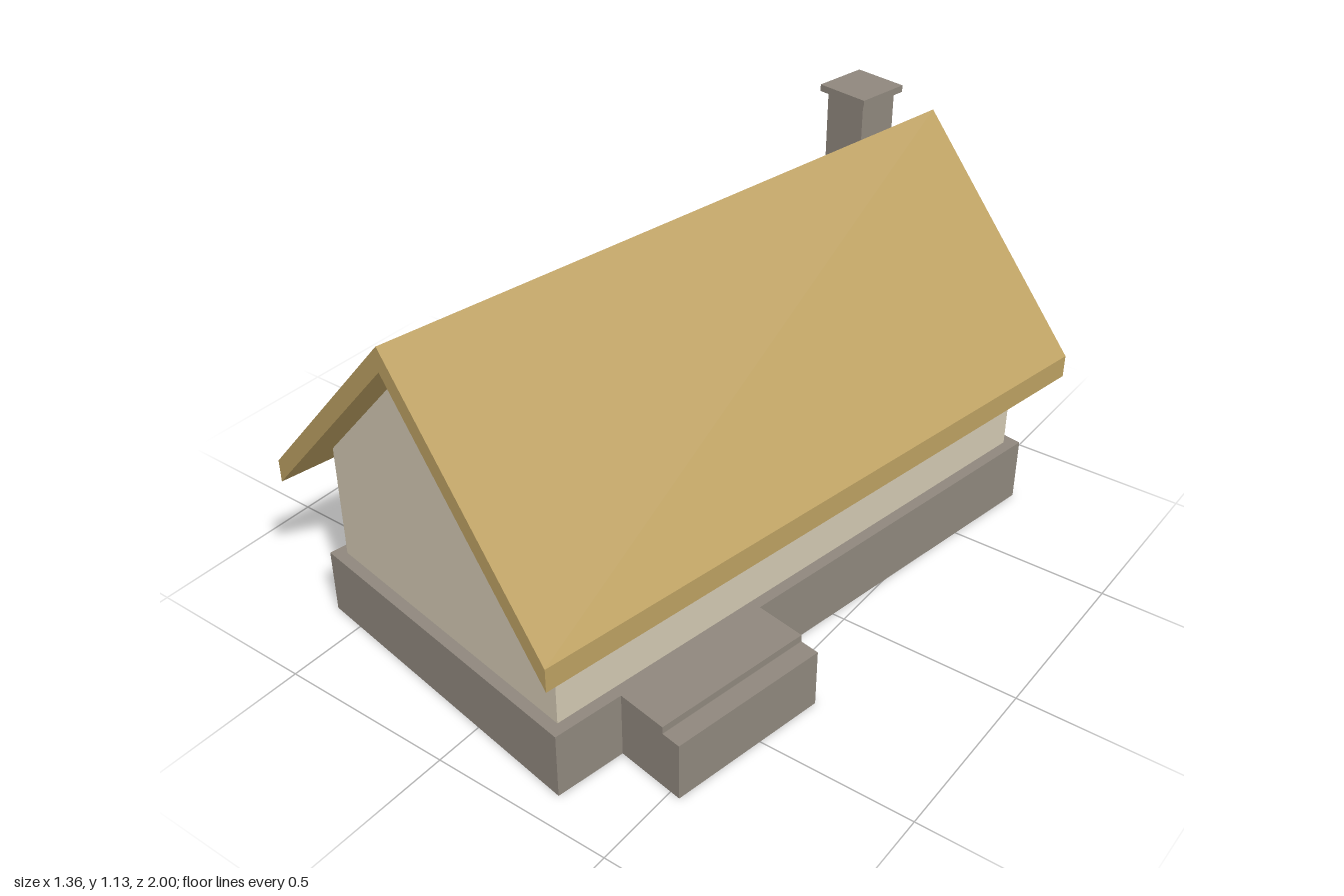
import * as THREE from 'three';

export function createModel() {
  const house = new THREE.Group();
  house.name = 'cottage';

  const mat = (name, color) => {
    const m = new THREE.MeshStandardMaterial({ color, side: THREE.DoubleSide });
    m.name = name;
    return m;
  };
  const stone = mat('stone', 0x8f877d);
  const plaster = mat('plaster', 0xd1c7b1);
  const thatch = mat('thatch', 0xbca062);

  const add = (name, geometry, material) => {
    const mesh = new THREE.Mesh(geometry, material);
    mesh.name = name;
    house.add(mesh);
    return mesh;
  };

  // Box between two corners; faces listed in omit are left open
  // (0 +x, 1 -x, 2 +y, 3 -y, 4 +z, 5 -z)
  const box = (name, [x0, y0, z0], [x1, y1, z1], omit = []) => {
    const g = new THREE.BoxGeometry(x1 - x0, y1 - y0, z1 - z0);
    g.translate((x0 + x1) / 2, (y0 + y1) / 2, (z0 + z1) / 2);
    const index = Array.from(g.index.array);
    g.setIndex(index.filter((_, i) => !omit.includes(Math.floor(i / 6))));
    g.clearGroups();
    return add(name, g, stone);
  };

  // Gable profile drawn in x and y, run along z
  const prism = (name, points, halfLength, material) => {
    const shape = new THREE.Shape(points.map(([x, y]) => new THREE.Vector2(x, y)));
    const g = new THREE.ExtrudeGeometry(shape, { depth: halfLength * 2, bevelEnabled: false });
    g.translate(0, 0, -halfLength);
    return add(name, g, material);
  };

  // Foundation, hollow below
  const baseTop = 0.185;
  box('foundation', [-0.458, 0, -0.852], [0.458, baseTop, 0.852], [3]);

  // Entrance steps on the left side, hollow below
  const z0 = 0.197, z1 = 0.655;
  box('stepBase', [0.458, 0, z0], [0.655, 0.165, z1], [1, 2, 3]);
  box('upperStep', [0.458, 0.165, z0], [0.6, baseTop, z1], [1, 3]);
  box('lowerStepTread', [0.6, 0.1, z0], [0.655, 0.165, z1], [0, 1, 3, 4, 5]);

  // Walls with gable ends
  prism('walls', [
    [-0.427, baseTop], [0.427, baseTop], [0.427, 0.514], [0, 0.973], [-0.427, 0.514],
  ], 0.82, plaster);

  // Roof slab with overhanging eaves
  prism('roof', [
    [-0.526, 0.41], [0, 0.975], [0.526, 0.41], [0.526, 0.475], [0, 1.04], [-0.526, 0.475],
  ], 0.92, thatch);

  // Chimney
  const cx = -0.104, cz = -0.733;
  const block = (name, half, bottom, top) =>
    box(name, [cx - half, bottom, cz - half], [cx + half, top, cz + half]);
  block('chimneyShaft', 0.0625, 0.8, 1.115);
  block('chimneyCap', 0.078, 1.115, 1.134);

  // The house stands slightly turned
  house.rotation.y = -THREE.MathUtils.degToRad(10.2);
  const root = new THREE.Group();
  root.name = 'house';
  root.add(house);
  return root;
}
